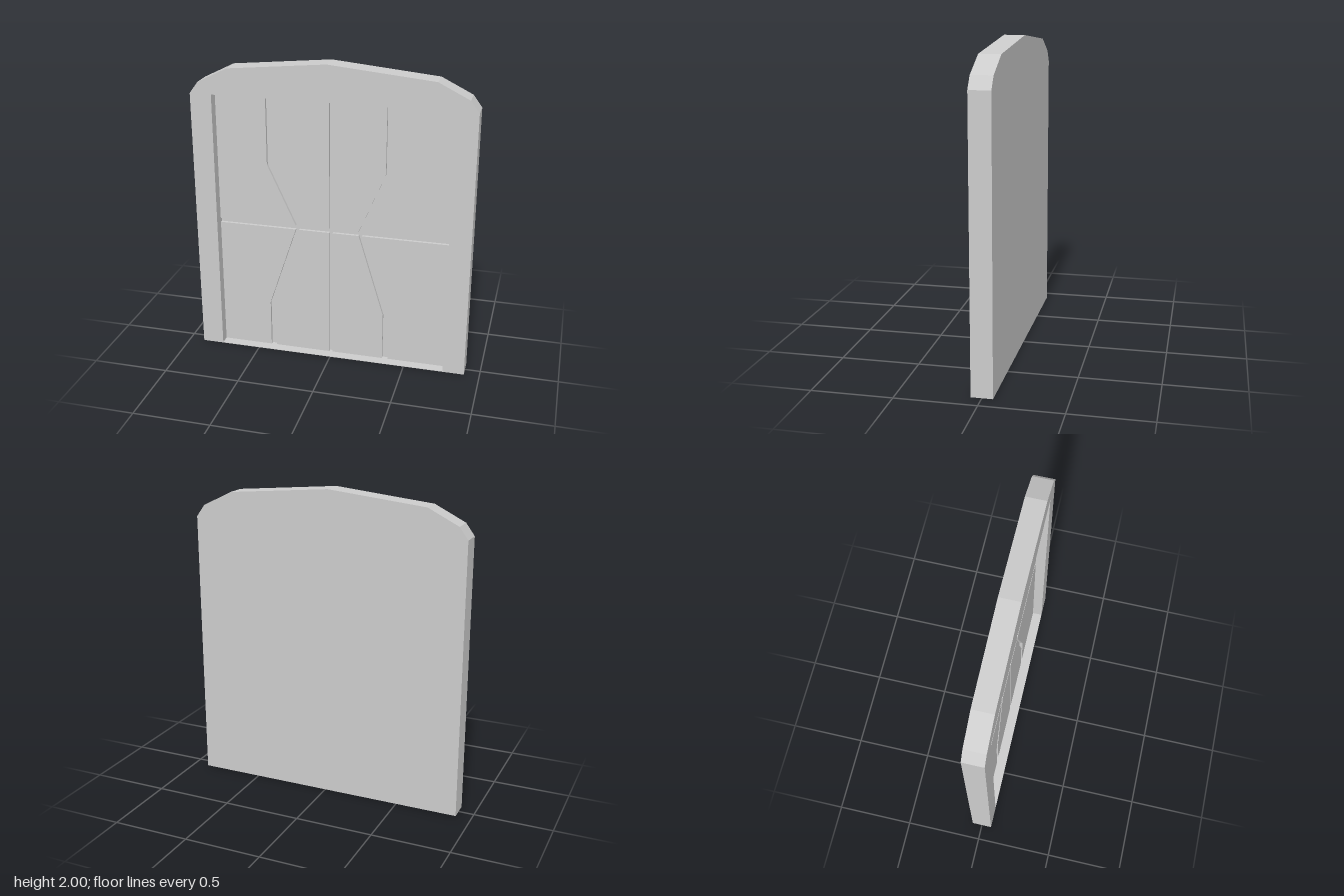
import * as THREE from 'three';

const FRONT = 0.066, BACK = -0.066; // slab faces
const PANEL = 0;                    // face of the recessed panels
const GROOVE = 0.02;                // groove depth
const W = 0.76, TOP = 1.765;        // recess half width and height
const AXIS = -0.025;                // mirror axis of the groove pattern

const material = new THREE.MeshStandardMaterial({ color: 0xcccccc, flatShading: true });

// Extrude a flat outline between two depths
function slab(name, points, z0, z1) {
  const shape = new THREE.Shape(points.map(([x, y]) => new THREE.Vector2(x, y)));
  const geometry = new THREE.ExtrudeGeometry(shape, { depth: z1 - z0, bevelEnabled: false });
  geometry.translate(0, 0, z0);
  const mesh = new THREE.Mesh(geometry, material);
  mesh.name = name;
  return mesh;
}

const rect = (x0, y0, x1, y1) => [[x0, y0], [x1, y0], [x1, y1], [x0, y1]];
const mirror = (pts) => pts.map(([x, y]) => [2 * AXIS - x, y]);

export function createModel() {
  const door = new THREE.Group();
  door.name = 'door';

  // Arched frame around the recess
  door.add(slab('frame', [
    [-0.9, 0], [-W, 0], [-W, TOP], [W, TOP], [W, 0], [0.9, 0],
    [0.9, 1.765], [0.845, 1.84], [0.65, 1.937], [-0.02, 2],
    [-0.65, 1.937], [-0.845, 1.84], [-0.9, 1.765],
  ], BACK, FRONT));

  // Back sheet and thin sill closing the front of the recess
  door.add(slab('backSheet', rect(-W, 0, W, TOP), BACK, BACK + 0.014));
  door.add(slab('sill', rect(-W, 0, W, 0.003), PANEL - GROOVE, FRONT));

  // Panels between the grooves: y of the end, the bend and the middle groove
  const panels = new THREE.Group();
  panels.name = 'panels';
  const rows = [[0, 0.325, 0.88], [TOP, 1.31, 0.908]];
  for (const [end, bend, mid] of rows) {
    const outer = [[-0.43, end], [-0.43, bend], [-0.245, mid]];
    const inner = [[-0.392, end], [-0.392, bend], [-0.223, mid]];
    const outlines = [
      [[-W, end], ...outer, [-W, mid]],
      [...inner, [-0.02, mid], [-0.02, end]],
      [...mirror(inner), [0.002, mid], [0.002, end]],
      [[W, end], ...mirror(outer), [W, mid]],
    ];
    for (const outline of outlines) {
      panels.add(slab('panel', outline, PANEL - GROOVE, PANEL));
    }
  }
  door.add(panels);

  // Strips behind the panels that form the groove floors
  const floors = new THREE.Group();
  floors.name = 'grooveFloors';
  const z0 = PANEL - 2 * GROOVE, z1 = PANEL - GROOVE;
  floors.add(slab('middleGroove', rect(-W, 0.87, W, 0.92), z0, z1));
  floors.add(slab('centreGroove', rect(-0.03, 0, 0.012, TOP), z0, z1));
  const strip = [
    [-0.445, 0], [-0.377, 0], [-0.377, 0.325], [-0.2, 0.894], [-0.377, 1.31], [-0.377, TOP],
    [-0.445, TOP], [-0.445, 1.31], [-0.265, 0.894], [-0.445, 0.325],
  ];
  floors.add(slab('rightGroove', strip, z0, z1), slab('leftGroove', mirror(strip), z0, z1));
  door.add(floors);

  return door;
}
